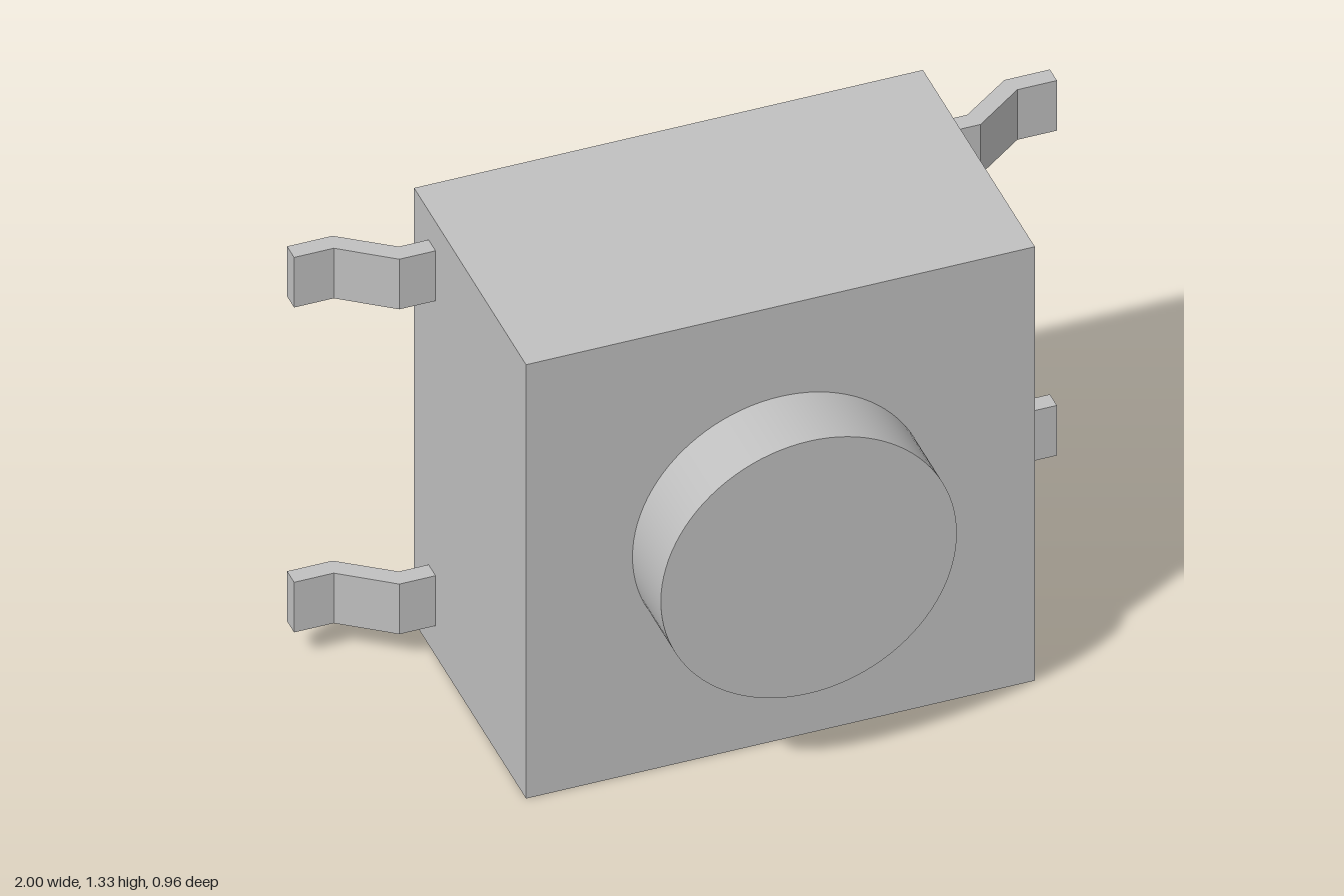
import * as THREE from 'three';

export function createModel() {
  const model = new THREE.Group();
  model.name = 'pushButtonSwitch';
  const grey = new THREE.MeshStandardMaterial({ color: 0xc0c0c0 });
  grey.name = 'light grey';

  function add(name, geometry, x, y, z) {
    const mesh = new THREE.Mesh(geometry, grey);
    mesh.name = name;
    mesh.position.set(x, y, z);
    model.add(mesh);
    return mesh;
  }

  // Square housing
  const size = 1.334;
  add('housing', new THREE.BoxGeometry(size, size, 0.766), 0, size / 2, -0.097);

  // Round button on the front
  const button = new THREE.CylinderGeometry(0.388, 0.388, 0.194, 96);
  button.rotateX(Math.PI / 2);
  add('button', button, 0, size / 2, 0.383);

  // Four bent legs: profile of x and z, stepping back to the rear plane
  const profile = [
    [0.66, -0.333], [0.762, -0.333], [0.896, -0.432], [1, -0.432],
    [1, -0.48], [0.881, -0.48], [0.745, -0.381], [0.66, -0.381],
  ];
  for (const [side, sign] of [['left', 1], ['right', -1]]) {
    const shape = new THREE.Shape(profile.map(([x, z]) => new THREE.Vector2(sign * x, -z)));
    const leg = new THREE.ExtrudeGeometry(shape, { depth: 0.154, bevelEnabled: false });
    leg.rotateX(-Math.PI / 2);
    add(side + 'LowerLeg', leg, 0, 0.092, 0);
    add(side + 'UpperLeg', leg, 0, 1.091, 0);
  }
  return model;
}
